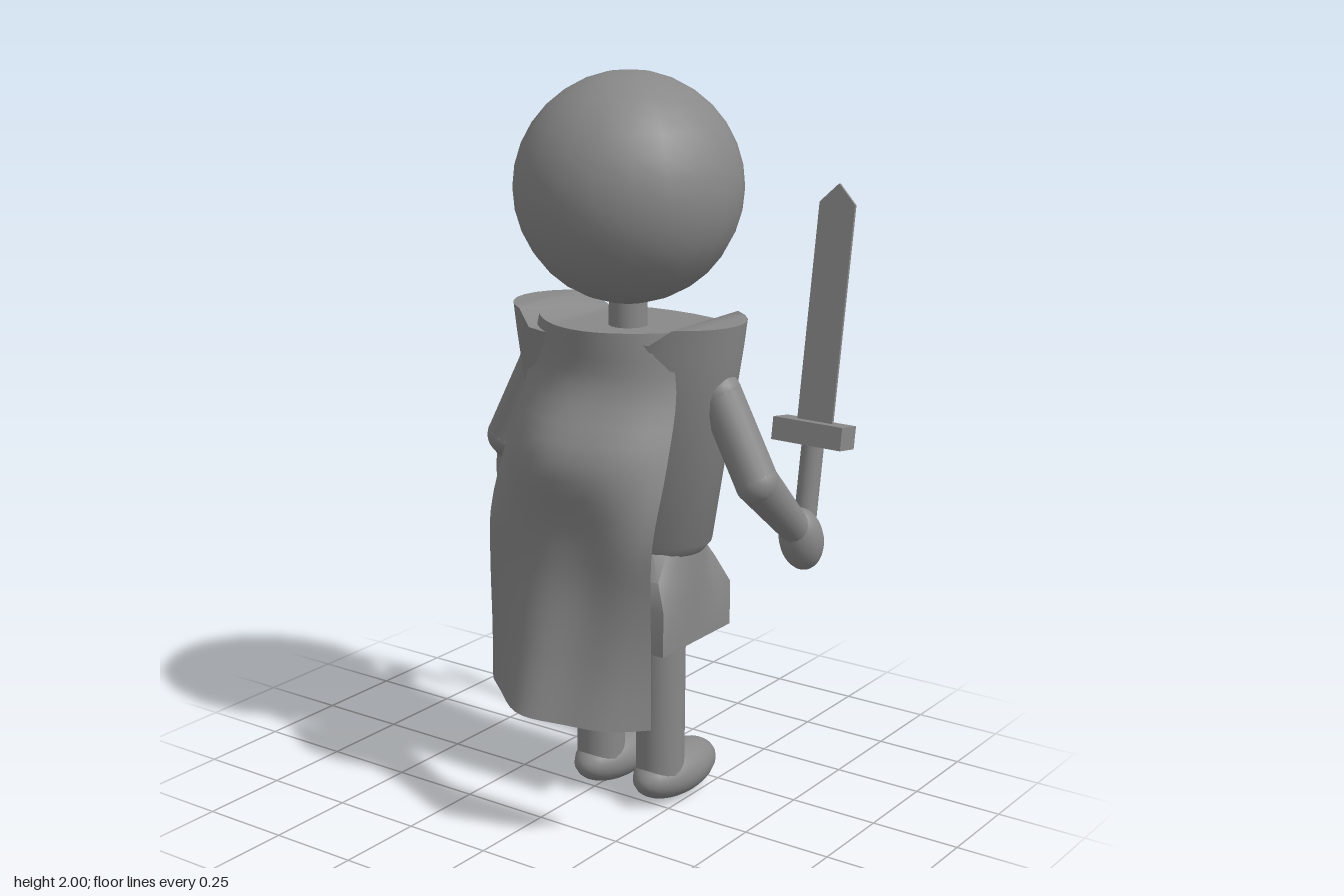
import * as THREE from 'three';
import { toCreasedNormals } from 'three/addons/utils/BufferGeometryUtils.js';

const GREY = 0x888888;
const material = new THREE.MeshStandardMaterial({ color: GREY });
const thin = new THREE.MeshStandardMaterial({ color: GREY, side: THREE.DoubleSide });
const MID_X = 0.035, MID_Z = 0.083; // body axis; the figure looks along +x
const V = (x, y, z) => new THREE.Vector3(x, y, z);

function add(parent, name, geometry, x = 0, y = 0, z = 0, mat = material) {
  const mesh = new THREE.Mesh(geometry, mat);
  mesh.name = name;
  mesh.position.set(x, y, z);
  parent.add(mesh);
  return mesh;
}

// Ellipsoid with the given half sizes
function ellipsoid(hx, hy, hz) {
  return new THREE.SphereGeometry(1, 24, 16).scale(hx, hy, hz);
}

// Tapered round limb between two points
function limb(parent, name, a, b, ra, rb) {
  const dir = b.clone().sub(a);
  const m = add(parent, name, new THREE.CylinderGeometry(rb, ra, dir.length(), 16));
  m.position.copy(a).add(b).multiplyScalar(0.5);
  m.quaternion.setFromUnitVectors(V(0, 1, 0), dir.normalize());
}

// Closed skin over rings of points, listed from bottom to top
function loft(rings, crease) {
  const n = rings[0].length, pos = [], idx = [];
  rings.forEach((r) => r.forEach((p) => pos.push(p.x, p.y, p.z)));
  for (let i = 0; i < rings.length - 1; i++) {
    for (let j = 0; j < n; j++) {
      const a = i * n + j, b = i * n + (j + 1) % n;
      idx.push(a, a + n, b, b, a + n, b + n);
    }
  }
  // Caps made of strips that run from front to back
  for (const [ring, top] of [[0, false], [rings.length - 1, true]]) {
    const at = (j) => ring * n + (j + n) % n;
    const tri = (a, b, c) => {
      if (a === b || b === c) return;
      if (top) idx.push(a, b, c);
      else idx.push(a, c, b);
    };
    for (let j = -n / 4; j < n / 4; j++) {
      const p = at(j), p1 = at(j + 1), q = at(n / 2 - j), q1 = at(n / 2 - j - 1);
      tri(p, q, p1);
      tri(p1, q, q1);
    }
  }
  const g = new THREE.BufferGeometry();
  g.setAttribute('position', new THREE.Float32BufferAttribute(pos, 3));
  g.setIndex(idx);
  return toCreasedNormals(g, crease);
}

// Ring that blends from an ellipse (square = 0) to a rectangle (square = 1)
function ring(hx, hz, y, square = 0, lift = 0) {
  return Array.from({ length: 32 }, (_, j) => {
    const t = (j / 32) * Math.PI * 2, c = Math.cos(t), s = Math.sin(t);
    const k = 1 + square * (1 / Math.max(Math.abs(c), Math.abs(s)) - 1);
    return V(c * k * hx, y + (Math.abs(s) > 0.6 ? lift : 0), s * k * hz);
  });
}

// Cape: each row is height, edge x, centre x, half width
function capeGeometry() {
  const rows = [
    [1.365, -0.105, -0.215, 0.205], [1.22, -0.11, -0.215, 0.235], [1.04, -0.18, -0.318, 0.255],
    [0.85, -0.25, -0.288, 0.26], [0.7, -0.255, -0.29, 0.26], [0.52, -0.25, -0.335, 0.26],
    [0.36, -0.25, -0.39, 0.26],
  ];
  const curve = (k) => new THREE.CatmullRomCurve3(rows.map((r) => V(r[k], r[0], 0)));
  const edge = curve(1), centre = curve(2), width = curve(3);
  const g = new THREE.PlaneGeometry(1, 1, 20, 24);
  const p = g.attributes.position;
  for (let i = 0; i < p.count; i++) {
    const u = p.getX(i) * 2, t = 0.5 - p.getY(i);
    const e = edge.getPoint(t), c = centre.getPoint(t), w = width.getPoint(t).x;
    const fold = 0.01 * t * Math.sin(u * Math.PI * 2);
    const x = THREE.MathUtils.lerp(c.x, e.x, u * u) + fold;
    p.setXYZ(i, x, e.y - 0.012 * t * u, 0.1 + u * w);
  }
  g.computeVertexNormals();
  return g;
}

export function createModel() {
  const model = new THREE.Group();
  model.name = 'warrior';

  // Head, neck, torso and skirt
  add(model, 'head', new THREE.SphereGeometry(0.302, 20, 16), MID_X, 1.698, MID_Z);
  add(model, 'neck', new THREE.CylinderGeometry(0.052, 0.052, 0.14, 16), MID_X, 1.37, MID_Z);
  add(model, 'torso', loft([
    ring(0.14, 0.23, 0.745), ring(0.155, 0.255, 0.775),
    ring(0.213, 0.335, 1.3), ring(0.218, 0.345, 1.335, 0, 0.04),
  ], 0.75), MID_X, 0, MID_Z);
  add(model, 'skirt', loft([
    ring(0.162, 0.228, 0.497, 1), ring(0.162, 0.228, 0.62, 1),
    ring(0.162, 0.228, 0.69, 0.5), ring(0.16, 0.225, 0.755),
  ], 1), MID_X + 0.003, 0, MID_Z);

  // Legs and feet
  for (const [side, z] of [['right', 0.197], ['left', -0.003]]) {
    add(model, side + 'Leg', new THREE.CylinderGeometry(0.067, 0.067, 0.44, 20), MID_X, 0.3, z);
    add(model, side + 'Foot', ellipsoid(0.165, 0.072, 0.085), 0.108, 0.075, z);
  }

  // Arms, mirrored with their own reach
  for (const [side, zs, ze, zh] of [['right', 0.375, 0.49, 0.51], ['left', -0.21, -0.325, -0.36]]) {
    const shoulder = V(0.032, 1.19, zs), elbow = V(0.035, 0.97, ze), wrist = V(0.21, 0.8, zh);
    const arm = new THREE.Group();
    arm.name = side + 'Arm';
    model.add(arm);
    add(arm, 'shoulder', ellipsoid(0.058, 0.058, 0.058)).position.copy(shoulder);
    limb(arm, 'upperArm', shoulder, elbow, 0.058, 0.058);
    add(arm, 'elbow', ellipsoid(0.058, 0.058, 0.058)).position.copy(elbow);
    limb(arm, 'forearm', elbow, wrist, 0.058, 0.042);
    add(arm, 'hand', ellipsoid(0.06, 0.092, 0.06), 0.235, 0.77, zh).rotation.z = 0.3;
  }

  // Sword, leaning forward from the right hand
  const sword = new THREE.Group();
  sword.name = 'sword';
  sword.position.set(0.255, 0.78, 0.505);
  sword.rotation.z = -0.15;
  model.add(sword);
  add(sword, 'grip', new THREE.CylinderGeometry(0.03, 0.03, 0.26, 14), 0, 0.13, 0);
  add(sword, 'guard', new THREE.BoxGeometry(0.075, 0.062, 0.21), -0.004, 0.272, 0);
  const outline = new THREE.Shape([[-0.053, 0.3], [0.053, 0.3], [0.053, 0.88], [0, 0.932], [-0.053, 0.88]]
    .map(([a, b]) => new THREE.Vector2(a, b)));
  const blade = new THREE.ExtrudeGeometry(outline, { depth: 0.008, bevelEnabled: false });
  add(sword, 'blade', blade.translate(0, 0, -0.004).rotateY(Math.PI / 2));

  // Round shield on the left hand, a shallow lens with a strap behind
  const lens = [[0, -0.008], [0.12, -0.006], [0.235, 0], [0.12, 0.017], [0, 0.03]]
    .map(([r, h]) => new THREE.Vector2(r, h));
  const shield = add(model, 'shield', toCreasedNormals(new THREE.LatheGeometry(lens, 40), 0.5), 0.338, 0.757, -0.377);
  shield.rotation.z = -Math.PI / 2;
  add(model, 'shieldStrap', new THREE.BoxGeometry(0.07, 0.11, 0.016), 0.302, 0.76, -0.375);

  // Cape hanging behind
  add(model, 'cape', capeGeometry(), 0, 0, 0, thin);
  return model;
}
